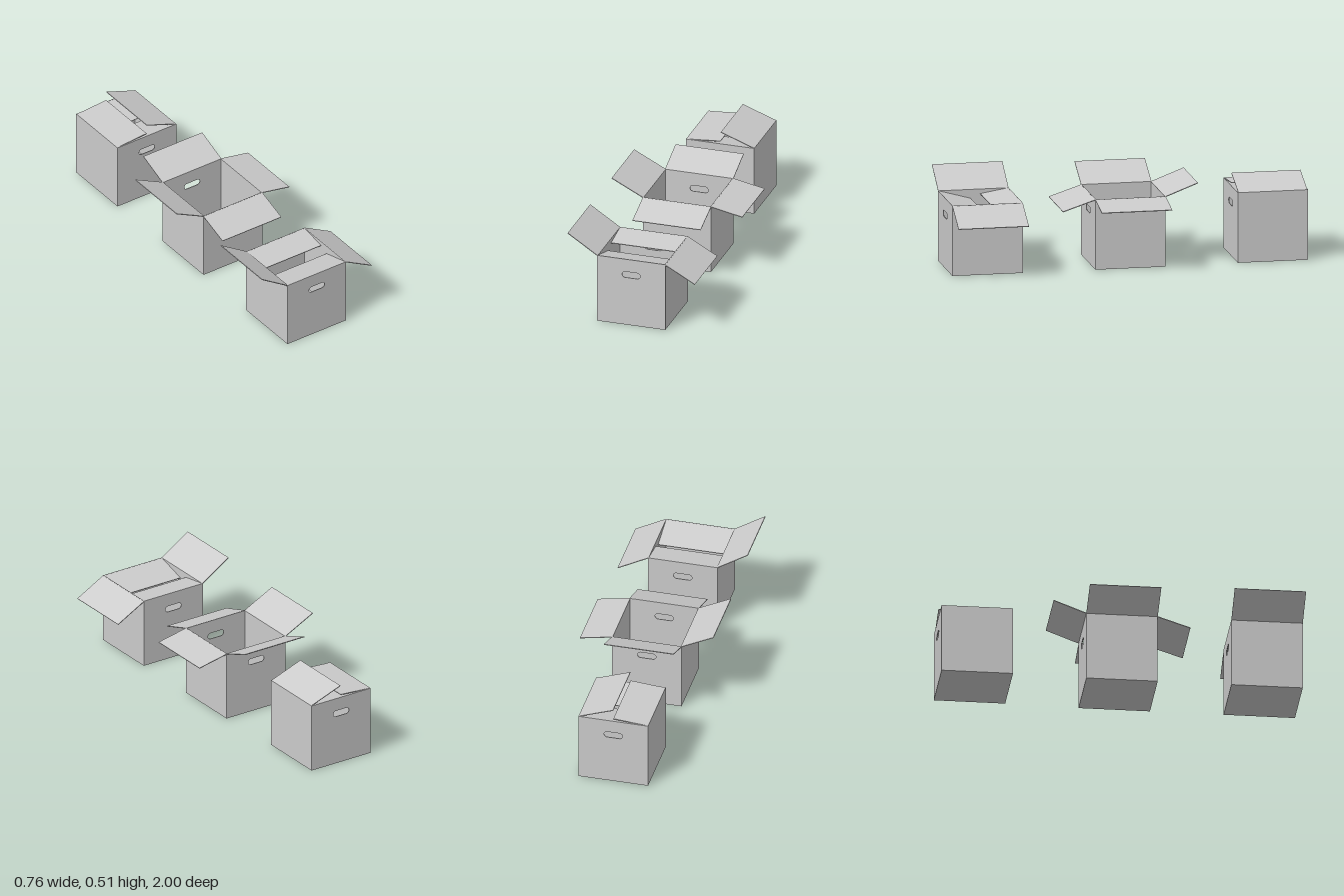
import * as THREE from 'three';

const W = 0.395, H = 0.395, T = 0.004, HALF = W / 2;
const cardboard = new THREE.MeshStandardMaterial({ color: 0xcccccc, flatShading: true });
const SIDES = { front: 0, left: Math.PI / 2, back: Math.PI, right: -Math.PI / 2 };

function mesh(name, geometry) {
  const m = new THREE.Mesh(geometry, cardboard);
  m.name = name;
  return m;
}

// Wall panel with a rounded hand hole, outer face on z = HALF
function handleWall() {
  const s = new THREE.Shape();
  s.moveTo(-HALF, 0);
  s.lineTo(HALF, 0);
  s.lineTo(HALF, H);
  s.lineTo(-HALF, H);
  s.closePath();
  const r = 0.0175, cx = 0.035, cy = 0.3025;
  const hole = new THREE.Path();
  hole.absarc(cx, cy, r, -Math.PI / 2, Math.PI / 2, false);
  hole.absarc(-cx, cy, r, Math.PI / 2, Math.PI * 1.5, false);
  hole.closePath();
  s.holes.push(hole);
  const g = new THREE.ExtrudeGeometry(s, { depth: T, bevelEnabled: false, curveSegments: 10 });
  return g.translate(0, 0, HALF - T);
}

function plainWall() {
  return new THREE.BoxGeometry(W - 2 * T, H, T).translate(0, H / 2, HALF - T / 2);
}

// Flap hinged on the top edge; out = reach away from the box, rise = height gained
function flap(name, out, rise) {
  const length = Math.hypot(out, rise);
  const width = out < 0 ? W - 2 * T : W;
  const m = mesh(name, new THREE.BoxGeometry(width, T, length).translate(0, 0, length / 2));
  m.position.set(0, H - T / 2, HALF - T / 2);
  m.rotation.x = -Math.atan2(rise, out);
  return m;
}

function openBox(name, x, z, flaps) {
  const box = new THREE.Group();
  box.name = name;
  box.position.set(x, 0, z);
  box.add(mesh('floor', new THREE.BoxGeometry(W - 2 * T, T, W - 2 * T).translate(0, T / 2, 0)));
  for (const [side, turn] of Object.entries(SIDES)) {
    const panel = new THREE.Group();
    panel.name = side + 'Panel';
    panel.rotation.y = turn;
    const hasHandle = side === 'front' || side === 'back';
    panel.add(mesh(side + 'Wall', hasHandle ? handleWall() : plainWall()));
    panel.add(flap(side + 'Flap', ...flaps[side]));
    box.add(panel);
  }
  return box;
}

export function createModel() {
  const model = new THREE.Group();
  model.name = 'cardboardBoxes';
  model.add(
    // Side flaps spread, end flaps tucked in
    openBox('frontBox', 0, 0.8025, {
      front: [-0.18, -0.05], back: [-0.157, -0.026], left: [0.173, -0.094], right: [0.173, 0.112],
    }),
    // All flaps spread
    openBox('middleBox', 0, 0, {
      front: [0.183, -0.06], back: [0.183, 0.07], left: [0.183, -0.036], right: [0.183, 0.092],
    }),
    // All flaps folded inward
    openBox('backBox', -0.0145, -0.8025, {
      front: [-0.18, -0.04], back: [-0.18, -0.04], left: [-0.193, 0.07], right: [-0.196, 0.015],
    }),
  );
  return model;
}
